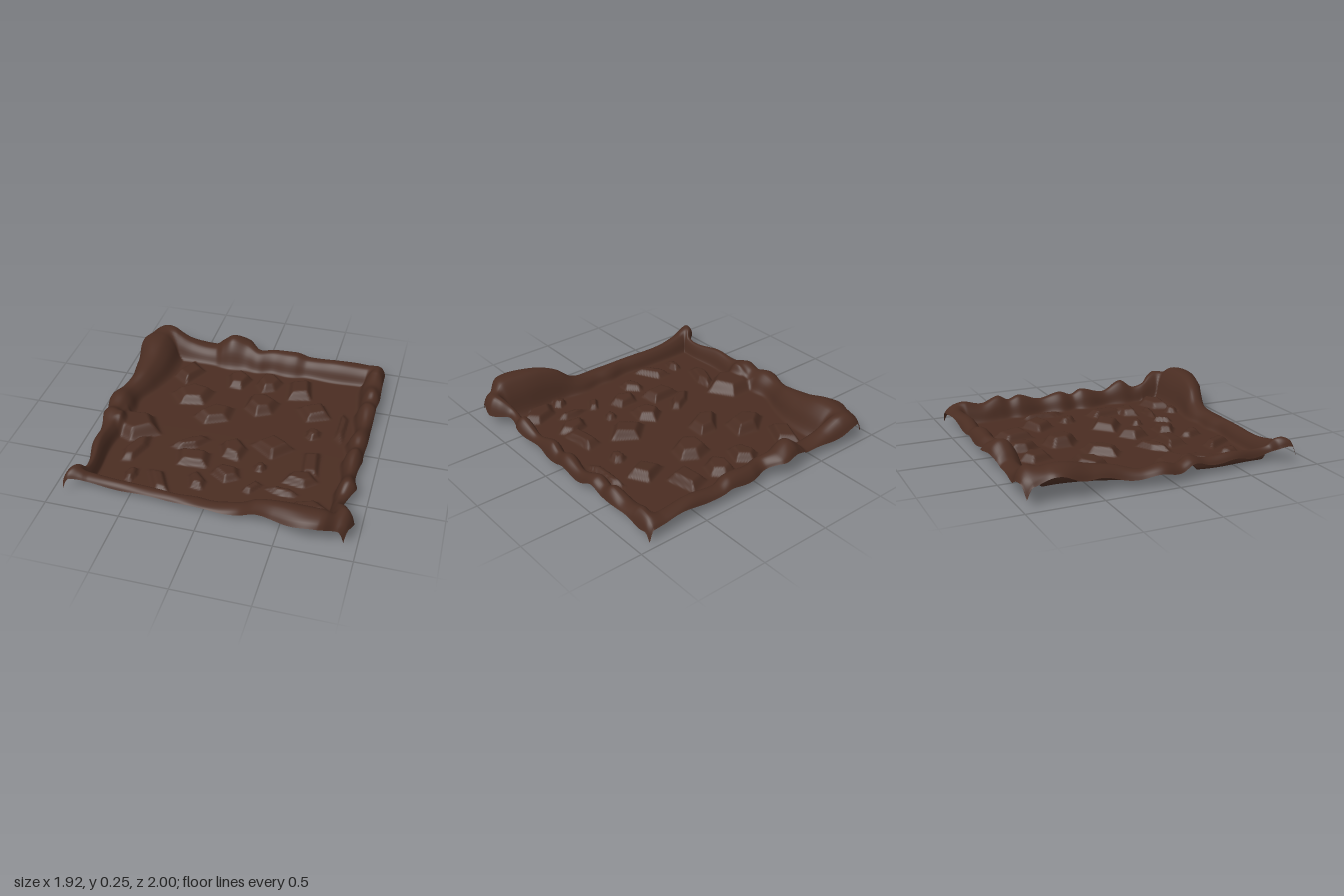
import * as THREE from 'three';

const soil = new THREE.MeshStandardMaterial({ color: 0x4a2d22, side: THREE.DoubleSide });
soil.name = 'dark brown';

// Smooth interpolation through rows of [position, value, value, ...]
function sample(keys, p, col) {
  const n = keys.length;
  if (p <= keys[0][0]) return keys[0][col];
  if (p >= keys[n - 1][0]) return keys[n - 1][col];
  let i = 0;
  while (p > keys[i + 1][0]) i++;
  const slope = (j) => {
    const a = keys[Math.max(0, j - 1)], b = keys[Math.min(n - 1, j + 1)];
    return (b[col] - a[col]) / (b[0] - a[0]);
  };
  const w = keys[i + 1][0] - keys[i][0], t = (p - keys[i][0]) / w;
  const t2 = t * t, t3 = t2 * t;
  return (2 * t3 - 3 * t2 + 1) * keys[i][col] + (t3 - 2 * t2 + t) * w * slope(i)
    + (3 * t2 - 2 * t3) * keys[i + 1][col] + (t3 - t2) * w * slope(i + 1);
}

// Each side: how far its lip hangs (fraction of crest), and rim rows of
// [position along side, outer edge, crest height, inner foot]
const left = { hang: 0.35, rim: [
  [-0.93, 0.92, 0.18, 0.7], [-0.8, 0.92, 0.2, 0.66], [-0.64, 0.94, 0.21, 0.64], [-0.48, 0.91, 0.17, 0.66],
  [-0.34, 0.9, 0.145, 0.71], [-0.2, 0.93, 0.11, 0.76], [-0.07, 0.96, 0.135, 0.77], [0.04, 0.94, 0.11, 0.77],
  [0.12, 0.93, 0.14, 0.76], [0.24, 0.9, 0.11, 0.77], [0.42, 0.89, 0.12, 0.78], [0.6, 0.85, 0.1, 0.77],
  [0.7, 0.85, 0.11, 0.77], [0.78, 0.9, 0.16, 0.77], [0.9, 0.92, 0.19, 0.77],
] };
const right = { hang: 0.5, rim: [
  [-0.93, 0.9, 0.14, 0.76], [-0.75, 0.905, 0.15, 0.75], [-0.62, 0.91, 0.12, 0.74], [-0.5, 0.915, 0.16, 0.76],
  [-0.43, 0.905, 0.125, 0.77], [-0.35, 0.91, 0.15, 0.76], [-0.2, 0.905, 0.1, 0.78], [-0.05, 0.91, 0.135, 0.76],
  [0.04, 0.9, 0.105, 0.77], [0.12, 0.905, 0.14, 0.76], [0.3, 0.89, 0.1, 0.78], [0.45, 0.92, 0.165, 0.76],
  [0.54, 0.88, 0.11, 0.77], [0.63, 0.87, 0.13, 0.77], [0.7, 0.93, 0.18, 0.77], [0.78, 0.96, 0.2, 0.77],
  [0.92, 0.92, 0.19, 0.77],
] };
const back = { hang: 0.35, rim: [
  [-0.92, 0.96, 0.19, 0.78], [-0.82, 0.985, 0.215, 0.77], [-0.62, 0.96, 0.13, 0.77], [-0.42, 0.95, 0.11, 0.77],
  [-0.36, 0.96, 0.16, 0.76], [-0.28, 0.98, 0.21, 0.75], [-0.16, 0.995, 0.17, 0.75], [-0.06, 0.925, 0.135, 0.76],
  [0.06, 0.95, 0.14, 0.77], [0.22, 0.95, 0.145, 0.77], [0.3, 0.95, 0.115, 0.78], [0.5, 0.94, 0.13, 0.77],
  [0.72, 0.95, 0.12, 0.78], [0.92, 0.95, 0.14, 0.77],
] };
const front = { hang: 0.25, rim: [
  [-0.92, 0.89, 0.18, 0.74], [-0.8, 0.86, 0.15, 0.73], [-0.55, 0.835, 0.1, 0.72], [-0.2, 0.85, 0.09, 0.73],
  [0.1, 0.865, 0.08, 0.71], [0.22, 0.87, 0.11, 0.71], [0.32, 0.9, 0.19, 0.72], [0.44, 0.955, 0.235, 0.72],
  [0.6, 1, 0.25, 0.71], [0.76, 0.975, 0.235, 0.72], [0.84, 0.92, 0.185, 0.73], [0.92, 0.91, 0.195, 0.73],
] };

// Rim cross-section: [parameter, outward fraction, height fraction]
const section = [
  [0, 0, 0], [0.12, 0.1, 0.16], [0.28, 0.23, 0.6], [0.45, 0.42, 0.92], [0.58, 0.58, 1],
  [0.72, 0.76, 0.99], [0.86, 0.92, 0.97], [1, 1, 0.94],
];

// Embedded stones: [x, z, half width, half depth, turn]
const stones = [
  [-0.53, -0.62, 0.08, 0.12, -0.4], [-0.15, -0.62, 0.08, 0.11, 0.1], [0.08, -0.64, 0.09, 0.11, 0],
  [0.32, -0.61, 0.09, 0.12, 0.3], [-0.42, -0.35, 0.14, 0.11, 0.4], [0.09, -0.36, 0.12, 0.12, 0],
  [0.48, -0.37, 0.1, 0.09, 0.6], [-0.2, -0.17, 0.14, 0.09, 0.7], [0.52, -0.13, 0.05, 0.06, 0],
  [0.28, 0.08, 0.11, 0.1, -0.6], [0.03, 0.18, 0.09, 0.1, 0.3], [-0.27, 0.18, 0.14, 0.05, 0.6],
  [-0.21, 0.34, 0.12, 0.08, 0.2], [0.05, 0.43, 0.1, 0.07, -0.2], [0.25, 0.31, 0.04, 0.04, 0],
  [0.57, 0.2, 0.06, 0.14, 0.2], [0.54, 0.36, 0.11, 0.07, 0.1], [-0.56, 0.6, 0.04, 0.07, 0],
  [-0.36, 0.62, 0.05, 0.12, 0.5], [-0.12, 0.55, 0.05, 0.09, 0.6], [0.45, 0.51, 0.11, 0.03, -0.1],
  [0.25, 0.52, 0.03, 0.07, -0.5], [0.63, 0.64, 0.14, 0.08, 0.3], [0.43, 0.69, 0.05, 0.05, 0],
  [0.7, -0.25, 0.03, 0.16, 0], [-0.7, 0.11, 0.16, 0.15, 0.2], [-0.62, 0.34, 0.06, 0.16, -0.3],
];

const smooth = THREE.MathUtils.smoothstep;

// Height of the angular, flat-topped stones over the floor
function stoneHeight(x, z) {
  let best = 0;
  stones.forEach(([sx, sz, rx, rz, turn], i) => {
    const dx = x - sx, dz = z - sz, c = Math.cos(turn), s = Math.sin(turn);
    const px = (dx * c - dz * s) / rx, pz = (dx * s + dz * c) / rz;
    if (px * px + pz * pz > 3) return;
    const sides = 4 + i % 3;
    let r = 0;
    for (let k = 0; k < sides; k++) {
      const a = k * Math.PI * 2 / sides + (sides === 4 ? 0.1 : i * 1.7) + 0.12 * Math.sin(i * 3.1 + k * 2.7);
      r = Math.max(r, px * Math.cos(a) + pz * Math.sin(a));
    }
    const tilt = 1 + 0.15 * (px * Math.sin(i * 2.3) + pz * Math.cos(i * 2.3));
    best = Math.max(best, (0.02 + 0.38 * Math.min(rx, rz)) * tilt * (1 - smooth(r, 0.5, 1.0)));
  });
  return best;
}

// One coordinate across the sheet, flat floor first and then the rolled rim
const FLOOR = 0.76;
function across(u, along, negative, positive) {
  const { rim, hang } = u < 0 ? negative : positive, a = Math.abs(u);
  const edge = sample(rim, along, 1);
  const foot = sample(rim, along, 3) + 0.008 * Math.sin(14 * along + 3 * Math.sin(5 * along));
  const t = Math.max(0, (a - FLOOR) / (1 - FLOOR));
  const d = t > 0 ? foot + (edge - foot) * sample(section, t, 1) : foot * a / FLOOR;
  return { p: Math.sign(u) * d, t, crest: sample(rim, along, 2), hang };
}

function sheetPoint(u, v, target) {
  const X = across(u, v * 0.94, left, right), Z = across(v, u * 0.93, back, front);
  // Rounded blend of the two sides where they meet in a corner
  const t = Math.min(1, (X.t ** 7 + Z.t ** 7) ** (1 / 7));
  const wx = X.t ** 4 + 1e-9, wz = Z.t ** 4 + 1e-9;
  const mix = (key) => (X[key] * wx + Z[key] * wz) / (wx + wz);
  // Unevenly hanging lip, lowest at the corners
  const uneven = 1 + 0.5 * Math.sin(11 * X.p + 13 * Z.p) * Math.sin(5 * X.p - 7 * Z.p + 1);
  const drop = mix('crest') * mix('hang') * uneven * smooth(t, 0.65, 1.1)
    + 0.07 * smooth(X.t, 0.7, 1) * smooth(Z.t, 0.7, 1);
  const y = mix('crest') * sample(section, t, 2) - drop
    + stoneHeight(X.p, Z.p) * (1 - smooth(t, 0.1, 0.6));
  return target.set(X.p, Math.max(y, 0), Z.p);
}

export function createModel() {
  const group = new THREE.Group();
  group.name = 'groundPatch';
  const N = 180;
  const geometry = new THREE.PlaneGeometry(2, 2, N, N).rotateX(-Math.PI / 2);
  const pos = geometry.attributes.position, point = new THREE.Vector3();
  for (let i = 0; i < pos.count; i++) {
    sheetPoint(pos.getX(i), pos.getZ(i), point);
    pos.setXYZ(i, point.x, point.y, point.z);
  }
  geometry.computeVertexNormals();
  const sheet = new THREE.Mesh(geometry, soil);
  sheet.name = 'stonyFloorWithRolledRim';
  group.add(sheet);
  return group;
}
